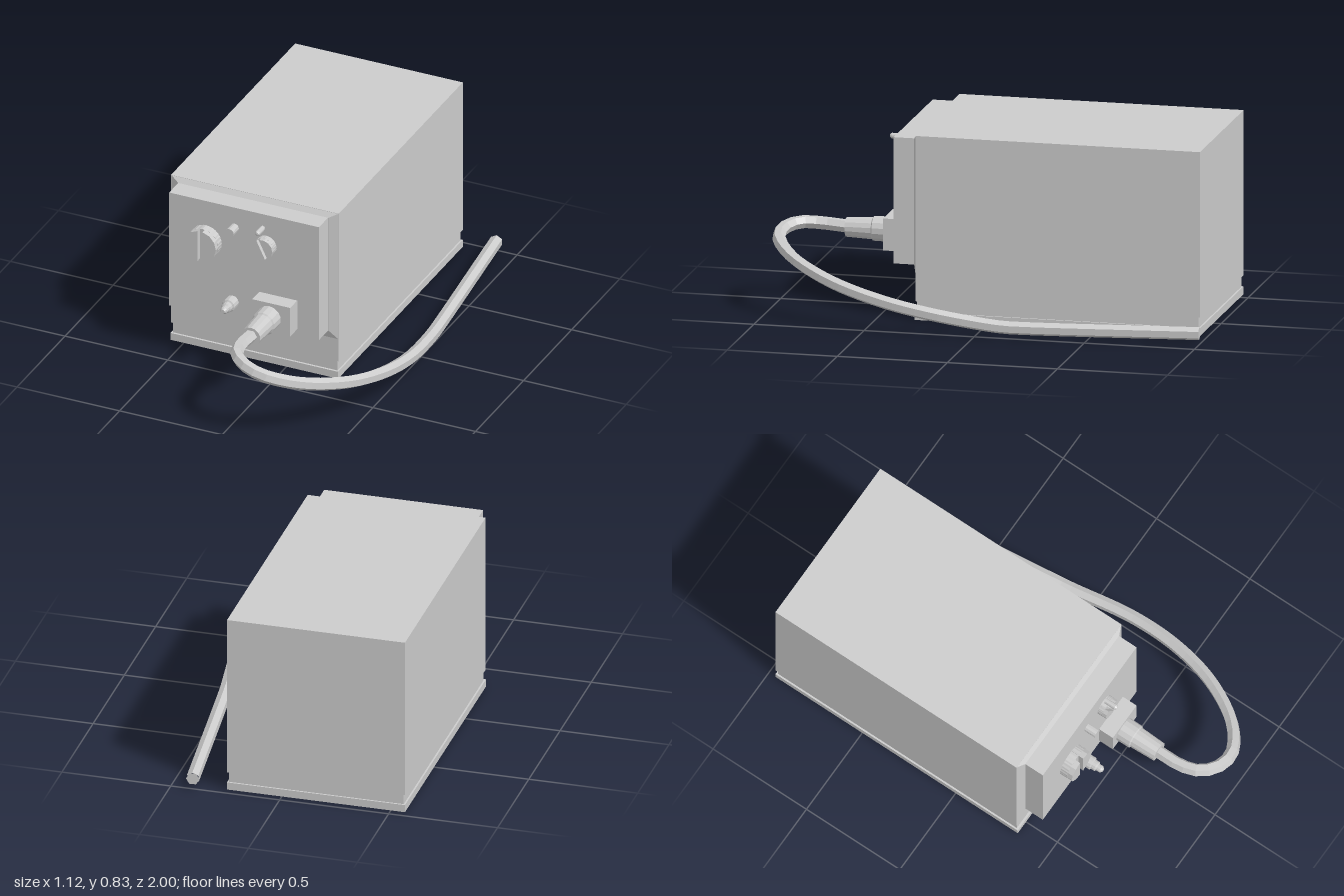
import * as THREE from 'three';

export function createModel() {
  const model = new THREE.Group();
  const mat = new THREE.MeshStandardMaterial({ color: 0xcccccc, flatShading: true });

  const add = (name, geo, parent = model) => {
    const mesh = new THREE.Mesh(geo, mat);
    mesh.name = name;
    parent.add(mesh);
    return mesh;
  };
  // Box given by its two extreme corners
  const box = (name, x0, x1, y0, y1, z0, z1) => add(name,
    new THREE.BoxGeometry(x1 - x0, y1 - y0, z1 - z0)
      .translate((x0 + x1) / 2, (y0 + y1) / 2, (z0 + z1) / 2));
  // Turned part pointing forward; profile is a list of [radius, z]
  const turned = (name, x, y, profile, sides) => {
    const geo = new THREE.LatheGeometry(profile.map(([r, z]) => new THREE.Vector2(r, z)), sides);
    return add(name, geo.rotateX(Math.PI / 2).translate(x, y, 0));
  };

  // Case: base slab, recessed groove, main housing
  box('baseSlab', -0.565, 0.252, 0, 0.035, -0.965, 0.332);
  box('baseGroove', -0.557, 0.244, 0.035, 0.085, -0.957, 0.322);
  box('housing', -0.565, 0.252, 0.085, 0.835, -0.965, 0.326);

  // Bevelled frame: a slab whose front face is drawn in
  const frame = new THREE.BoxGeometry(1, 1, 1);
  const p = frame.attributes.position;
  for (let i = 0; i < p.count; i++) {
    const front = p.getZ(i) > 0;
    p.setXYZ(i,
      p.getX(i) > 0 ? (front ? 0.21 : 0.252) : (front ? -0.522 : -0.565),
      p.getY(i) > 0 ? (front ? 0.813 : 0.835) : (front ? 0.24 : 0.195),
      front ? 0.343 : 0.325);
  }
  frame.computeVertexNormals();
  add('bevelFrame', frame);
  box('frontPanel', -0.522, 0.208, 0.24, 0.813, 0.34, 0.437);

  // Slotted knob: back disc plus two half discs with a slot between them
  const knob = (name, x, y, r, z0, z1, gap, turn) => {
    const g = new THREE.Group();
    g.name = name;
    g.position.set(x, y, z0);
    g.rotation.z = turn;
    model.add(g);
    const depth = z1 - z0;
    const back = depth * 0.6;
    add('knobDisc', new THREE.CylinderGeometry(r, r, back, 14)
      .rotateX(Math.PI / 2).translate(0, 0, back / 2), g);
    const a = Math.acos(gap / r);
    for (const side of [0, Math.PI]) {
      const half = new THREE.Shape();
      for (let i = 0; i <= 6; i++) {
        const t = -a + (2 * a * i) / 6;
        half[i ? 'lineTo' : 'moveTo'](r * Math.cos(t), r * Math.sin(t));
      }
      add('knobGrip', new THREE.ExtrudeGeometry(half, { depth, bevelEnabled: false })
        .rotateZ(side), g);
    }
  };
  knob('largeKnob', -0.335, 0.624, 0.077, 0.453, 0.516, 0.012, 0);
  knob('smallKnob', -0.048, 0.659, 0.049, 0.437, 0.482, 0.008, 0.45);

  // Indicator, switch pin and socket
  turned('indicator', -0.197, 0.72, [[0, 0.45], [0.021, 0.45], [0.021, 0.505], [0, 0.505]], 12);
  turned('switchPin', -0.058, 0.754,
    [[0, 0.455], [0.012, 0.455], [0.013, 0.508], [0.008, 0.516], [0, 0.518]], 10);
  turned('socket', -0.21, 0.339,
    [[0, 0.445], [0.031, 0.445], [0.031, 0.49], [0.024, 0.494], [0.024, 0.512],
      [0.017, 0.518], [0.017, 0.535], [0.009, 0.545], [0, 0.545]], 12);

  // Plug with its tapered sleeve
  box('plugBlock', -0.083, 0.102, 0.27, 0.415, 0.43, 0.51);
  turned('plugSleeve', 0, 0.343,
    [[0, 0.5], [0.057, 0.5], [0.056, 0.575], [0.05, 0.58], [0.045, 0.7], [0, 0.7]], 14);

  // Cable looping forward, then back along the side on the ground
  const path = new THREE.CatmullRomCurve3([
    [0, 0.345, 0.68], [0, 0.355, 0.82], [0.025, 0.36, 0.9], [0.09, 0.35, 0.955],
    [0.18, 0.327, 0.965], [0.31, 0.275, 0.88], [0.44, 0.205, 0.68], [0.51, 0.148, 0.45],
    [0.53, 0.1, 0.2], [0.5, 0.052, -0.11], [0.49, 0.048, -0.2], [0.4, 0.048, -0.998],
  ].map((q) => new THREE.Vector3(...q)), false, 'centripetal');
  add('cable', new THREE.TubeGeometry(path, 48, 0.03, 6));
  const end = add('cableEnd', new THREE.CircleGeometry(0.03, 6));
  end.position.copy(path.getPoint(1));
  end.lookAt(path.getPoint(1).add(path.getTangent(1)));

  return model;
}
